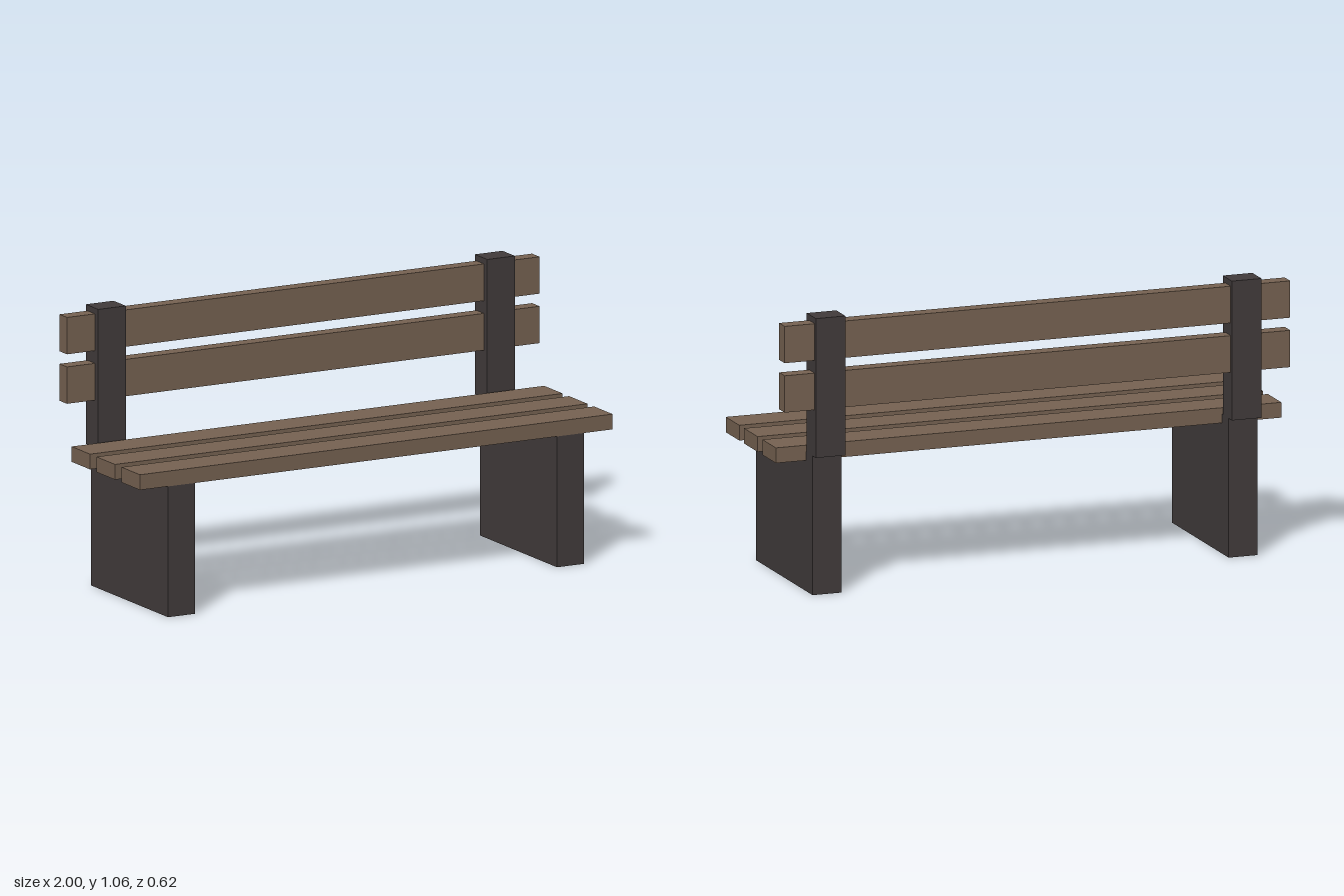
import * as THREE from 'three';

export function createModel() {
  const bench = new THREE.Group();
  bench.name = 'bench';
  const wood = new THREE.MeshStandardMaterial({ color: 0x776352 });
  wood.name = 'brown wood';
  const frame = new THREE.MeshStandardMaterial({ color: 0x423c3c });
  frame.name = 'dark frame';

  // Box given by its x centre, width, and y and z extents
  function box(name, material, x, width, y0, y1, z0, z1) {
    const mesh = new THREE.Mesh(new THREE.BoxGeometry(width, y1 - y0, z1 - z0), material);
    mesh.position.set(x, (y0 + y1) / 2, (z0 + z1) / 2);
    mesh.name = name;
    bench.add(mesh);
  }

  // Solid leg panels with a backrest post on each
  for (const [side, s] of [['left', 1], ['right', -1]]) {
    box(side + 'LegPanel', frame, s * 0.823, 0.115, 0, 0.53, -0.275, 0.311);
    box(side + 'BackPost', frame, s * 0.823, 0.117, 0.53, 1.06, -0.311, -0.217);
  }

  // Seat slats, front to back
  [0.242, 0.052, -0.137].forEach((z, i) =>
    box('seatSlat' + (i + 1), wood, 0, 2, 0.497, 0.555, z - 0.07, z + 0.07));

  // Backrest slats, passing through the posts
  [0.78, 0.968].forEach((y, i) =>
    box('backSlat' + (i + 1), wood, 0, 2, y - 0.07, y + 0.07, -0.299, -0.242));

  return bench;
}
